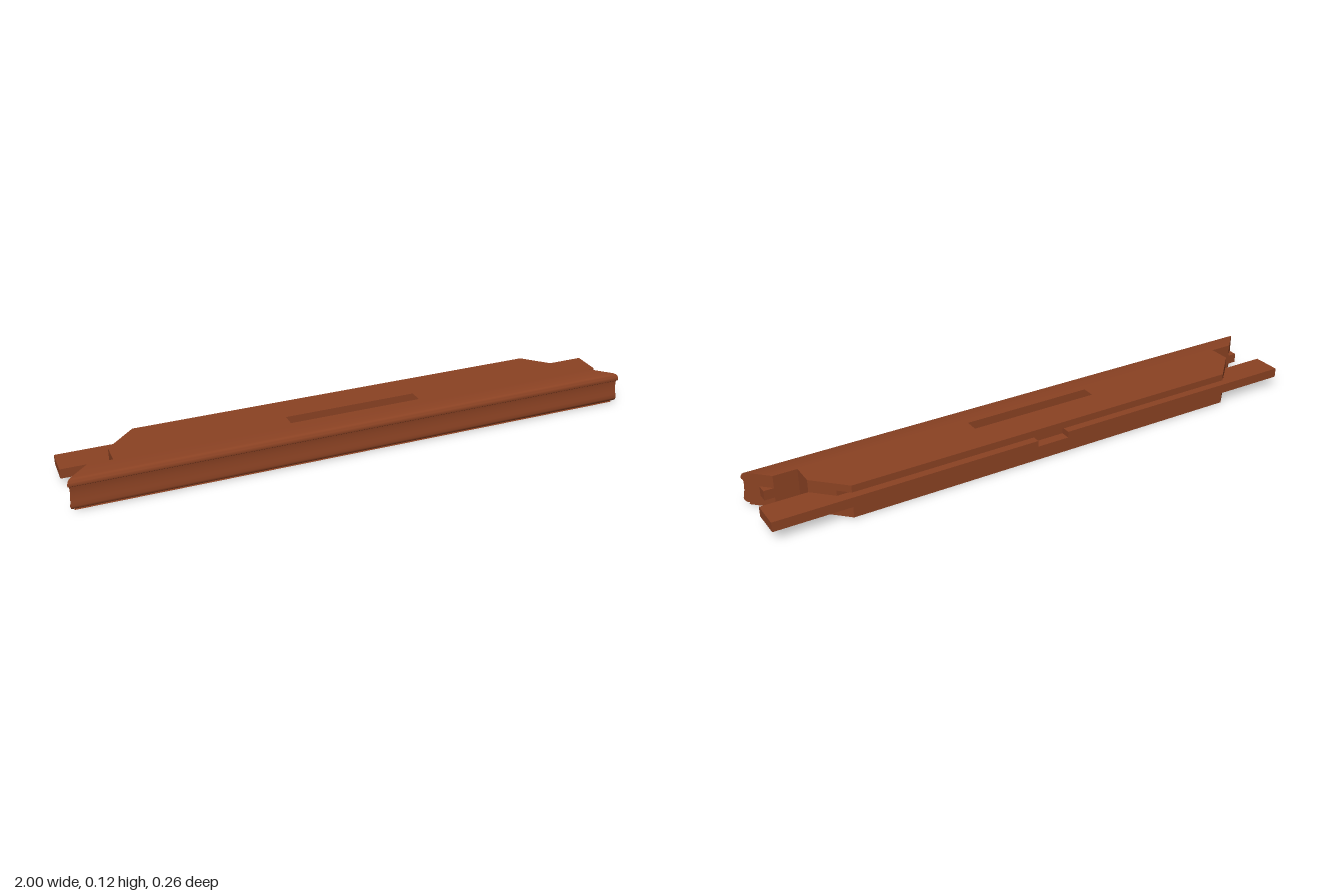
import * as THREE from 'three';
import { toCreasedNormals } from 'three/addons/utils/BufferGeometryUtils.js';

const TOP = 0.116, BACK = -0.13, CORE_BACK = -0.027, CORE_FRONT = 0.052;
const CORE_END = 0.84, REAR_END = 0.737;

// Extrudes a (z, y) profile along x; endAt(z) gives the half length, so ends can be mitred.
function rail(profile, endAt) {
  const shape = new THREE.Shape(profile.map(([z, y]) => new THREE.Vector2(-z, y)));
  const geo = new THREE.ExtrudeGeometry(shape, { depth: 2, bevelEnabled: false });
  geo.translate(0, 0, -1).rotateY(Math.PI / 2);
  const p = geo.attributes.position;
  for (let i = 0; i < p.count; i++) p.setX(i, Math.sign(p.getX(i)) * endAt(p.getZ(i)));
  return toCreasedNormals(geo, 0.6);
}

// Extrudes an (x, z) plan outline upwards from y0 to y1.
function slab(outline, y0, y1, hole) {
  const toShape = pts => pts.map(([x, z]) => new THREE.Vector2(x, -z));
  const shape = new THREE.Shape(toShape(outline));
  if (hole) shape.holes.push(new THREE.Path(toShape(hole)));
  const geo = new THREE.ExtrudeGeometry(shape, { depth: y1 - y0, bevelEnabled: false });
  return geo.rotateX(-Math.PI / 2).translate(0, y0, 0);
}

const rect = (x0, x1, z0, z1) => [[x0, z0], [x1, z0], [x1, z1], [x0, z1]];

export function createModel() {
  const group = new THREE.Group();
  const wood = new THREE.MeshStandardMaterial({ color: 0x8b4223 });
  wood.name = 'reddish brown wood';
  const add = (name, geo) => {
    const mesh = new THREE.Mesh(geo, wood);
    mesh.name = name;
    group.add(mesh);
  };

  // Moulded front edge with a rounded cap, hollow face and 45 degree mitred ends
  add('frontMoulding', rail([
    [CORE_FRONT, 0], [0.117, 0], [0.114, 0.007], [0.122, 0.008], [0.127, 0.013], [0.129, 0.021],
    [0.127, 0.035], [0.125, 0.05], [0.124, 0.065], [0.124, 0.08], [0.125, 0.088],
    [0.129, 0.091], [0.13, 0.096], [0.129, 0.103], [0.126, 0.11], [0.122, 0.114],
    [0.116, TOP], [CORE_FRONT, TOP],
  ], z => 1 - (0.13 - z)));

  // Core with a groove along the underside, topped by a slotted board
  const slotFloor = 0.075;
  add('core', rail([
    [CORE_BACK, 0], [0.01, 0], [0.01, 0.021], [0.038, 0.021], [0.038, 0],
    [CORE_FRONT, 0], [CORE_FRONT, slotFloor], [CORE_BACK, slotFloor],
  ], () => CORE_END));
  add('slottedTop', slab(rect(-CORE_END, CORE_END, CORE_BACK, CORE_FRONT), slotFloor, TOP,
    rect(-0.237, 0.237, -0.013, 0.035)));

  // Rear part with an open groove and slanted ends
  const grooveZ = -0.094, grooveLow = 0.072, grooveHigh = 0.091, notchFloor = 0.05;
  const slope = (CORE_END - REAR_END) / (CORE_BACK - BACK);
  const rearEnd = z => CORE_END - (CORE_BACK - z) * slope;
  add('rearRail', rail([
    [BACK, 0], [CORE_BACK, 0], [CORE_BACK, TOP], [BACK, TOP], [BACK, grooveHigh],
    [grooveZ, grooveHigh], [grooveZ, notchFloor], [BACK, notchFloor],
  ], rearEnd));

  for (const [side, s] of [['left', 1], ['right', -1]]) {
    const mirror = pts => pts.map(([x, z]) => [x * s, z]);
    // Lower groove lip, interrupted by a notch at mid length
    add(side + 'GrooveLip', slab(mirror([[0.06, BACK], [REAR_END, BACK],
      [rearEnd(grooveZ), grooveZ], [0.06, grooveZ]]), notchFloor, grooveLow));
    // Long tenon at the back
    add(side + 'Tenon', slab(mirror([[REAR_END, BACK], [1, BACK],
      [1, CORE_BACK], [CORE_END, CORE_BACK]]), 0.038, grooveLow));
    // Short tongue behind the mitre
    add(side + 'Tongue', slab(mirror(rect(0.9, 0.957, CORE_FRONT, 0.092)), 0.038, grooveLow));
    // Stub of the core that meets the mitre
  }
  return group;
}
